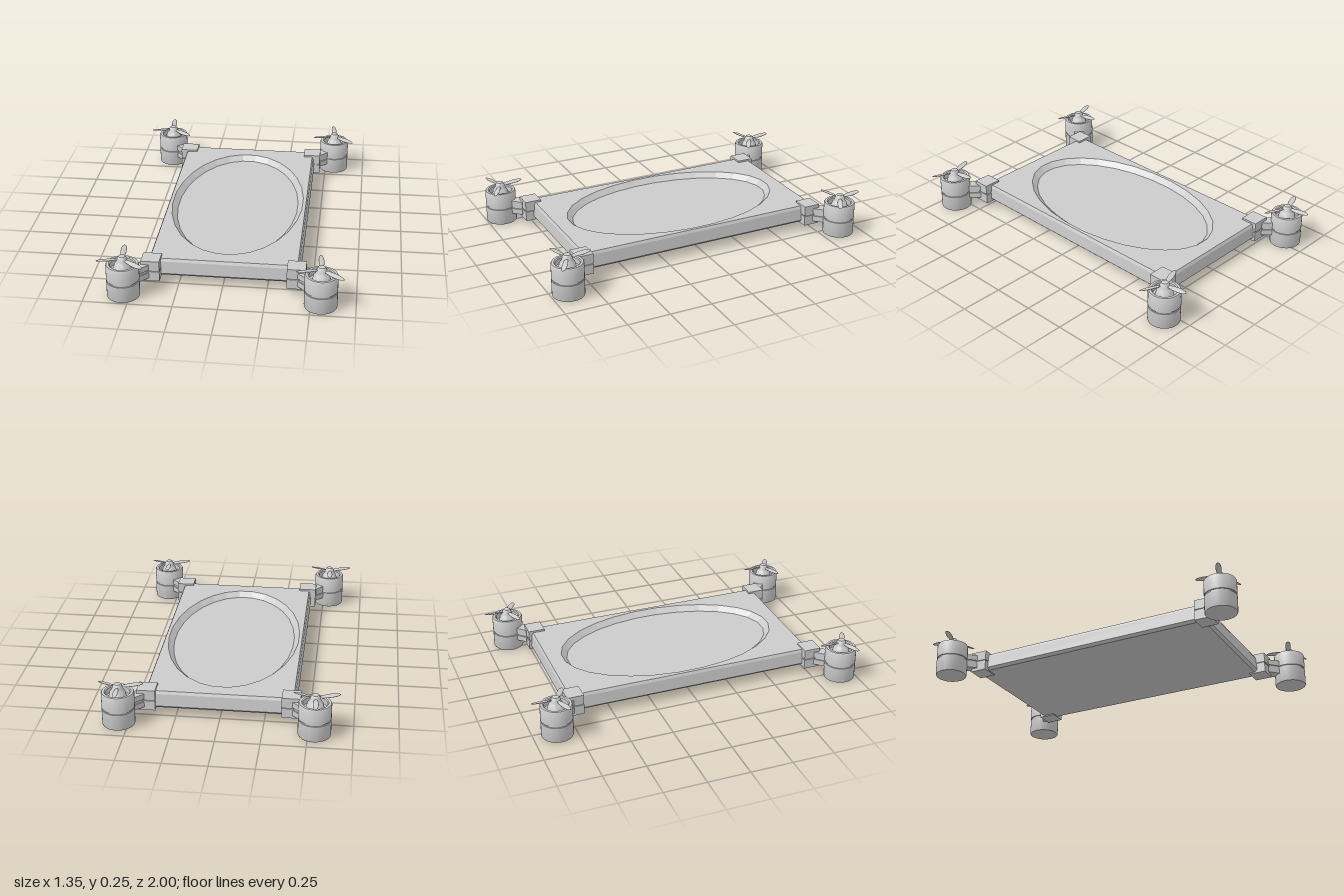
import * as THREE from 'three';
import { toCreasedNormals } from 'three/addons/utils/BufferGeometryUtils.js';

const material = new THREE.MeshStandardMaterial({ color: 0xcccccc });

function addMesh(parent, name, geometry, x = 0, y = 0, z = 0) {
  const mesh = new THREE.Mesh(geometry, material);
  mesh.name = name;
  mesh.position.set(x, y, z);
  parent.add(mesh);
  return mesh;
}

// Flat-faced band through a stack of closed loops of [x, y, z]
function loft(loops) {
  const pos = [];
  for (let r = 0; r < loops.length - 1; r++) {
    const a = loops[r], b = loops[r + 1], n = a.length;
    for (let i = 0; i < n; i++) {
      const j = (i + 1) % n;
      pos.push(...a[i], ...a[j], ...b[j], ...a[i], ...b[j], ...b[i]);
    }
  }
  const g = new THREE.BufferGeometry();
  g.setAttribute('position', new THREE.Float32BufferAttribute(pos, 3));
  g.computeVertexNormals();
  return g;
}

const rectLoop = (hx, hz, y) => [[hx, y, hz], [hx, y, -hz], [-hx, y, -hz], [-hx, y, hz]];

function ellipseLoop(rx, rz, y, n = 28) {
  return Array.from({ length: n }, (_, i) => {
    const t = ((i + 0.5) / n) * Math.PI * 2;
    return [rx * Math.cos(t), y, -rz * Math.sin(t)];
  });
}

// Horizontal face filling a loop, minus an optional hole
function cap(loop, hole, down = false) {
  const toPoints = l => l.map(([x, , z]) => new THREE.Vector2(x, down ? z : -z));
  const shape = new THREE.Shape(toPoints(loop));
  if (hole) shape.holes.push(new THREE.Path(toPoints(hole)));
  return new THREE.ShapeGeometry(shape)
    .rotateX(down ? Math.PI / 2 : -Math.PI / 2)
    .translate(0, loop[0][1], 0);
}

// Chamfered slab with an oval dished recess
function makePlatform() {
  const g = new THREE.Group();
  g.name = 'platform';
  const rows = [[0.015, 0.05], [0, 0.065], [0.006, 0.138], [0.014, 0.155]]
    .map(([inset, y]) => rectLoop(0.428 - inset, 0.762 - inset, y));
  const rim = ellipseLoop(0.397, 0.665, 0.155);
  const floor = ellipseLoop(0.365, 0.632, 0.124);
  addMesh(g, 'platformSides', loft(rows));
  addMesh(g, 'platformTop', cap(rows[3], rim));
  addMesh(g, 'platformUnderside', cap(rows[0], null, true));
  addMesh(g, 'recessWall', loft([rim, floor]));
  addMesh(g, 'recessFloor', cap(floor));
  g.position.x = 0.003;
  return g;
}

// Two stacked bars around a thinner core, leaving a seam at mid height
function splitBox(parent, name, w, d, y0, y1, gap, inset) {
  const mid = (y0 + y1) / 2, h = (y1 - y0 - gap) / 2;
  addMesh(parent, name + 'Lower', new THREE.BoxGeometry(w, h, d), 0, y0 + h / 2, 0);
  addMesh(parent, name + 'Upper', new THREE.BoxGeometry(w, h, d), 0, y1 - h / 2, 0);
  addMesh(parent, name + 'Core', new THREE.BoxGeometry(w - inset, gap * 1.5, d - inset), 0, mid, 0);
}

// Motor housing: grooved can, open well on top, tapering hub in the middle
const podProfile = [
  [0, 0], [0.084, 0], [0.09, 0.003], [0.092, 0.009],
  [0.092, 0.099], [0.087, 0.1], [0.087, 0.108], [0.092, 0.109],
  [0.092, 0.195], [0.088, 0.202], [0.074, 0.202], [0.068, 0.197],
  [0.068, 0.165], [0.052, 0.165], [0.043, 0.2], [0.036, 0.208],
  [0.03, 0.222], [0.025, 0.24], [0.019, 0.248], [0.009, 0.251], [0, 0.2515],
].map(p => new THREE.Vector2(...p));
const podGeometry = toCreasedNormals(new THREE.LatheGeometry(podProfile, 32), 0.6);

// Flattened leaf blade, narrower toward the root, pitched about its length
function makeBladeGeometry() {
  const g = new THREE.SphereGeometry(1, 20, 12);
  const p = g.attributes.position;
  for (let i = 0; i < p.count; i++) {
    const x = p.getX(i);
    p.setXYZ(i, x * 0.064, p.getY(i) * 0.0045, p.getZ(i) * (0.0165 + 0.002 * x));
  }
  g.computeVertexNormals();
  return g.rotateX(0.22).translate(0.08, 0, 0);
}
const bladeGeometry = makeBladeGeometry();

function makePod(x, z) {
  const g = new THREE.Group();
  g.name = 'motorPod';
  g.position.set(x, 0, z);
  addMesh(g, 'motorHousing', podGeometry);
  const rotor = new THREE.Group();
  rotor.name = 'propeller';
  rotor.position.y = 0.229;
  rotor.rotation.set(0.06, 0, -0.06);
  for (const angle of [94, 198, 329]) {
    addMesh(rotor, 'propellerBlade', bladeGeometry).rotation.y = THREE.MathUtils.degToRad(angle);
  }
  g.add(rotor);
  return g;
}

// Corner clamp, diagonal arm and motor pod
function makeCorner([bx, bz, px, pz]) {
  const g = new THREE.Group();
  g.name = 'rotorArm';
  const clamp = new THREE.Group();
  clamp.name = 'cornerClamp';
  clamp.position.set(bx, 0, bz);
  splitBox(clamp, 'clamp', 0.105, 0.1, 0.043, 0.166, 0.006, 0.012);
  const arm = new THREE.Group();
  arm.name = 'arm';
  arm.position.set((bx + px) / 2, 0, (bz + pz) / 2);
  arm.rotation.y = Math.atan2(-(pz - bz), px - bx);
  const length = Math.hypot(px - bx, pz - bz) - 0.085;
  splitBox(arm, 'arm', length, 0.062, 0.062, 0.145, 0.016, 0.014);
  g.add(clamp, arm, makePod(px, pz));
  return g;
}

export function createModel() {
  const model = new THREE.Group();
  model.name = 'quadRotorPlatform';
  model.add(makePlatform());
  const corners = [
    [-0.4, -0.725, -0.536, -0.861],
    [0.415, -0.725, 0.554, -0.861],
    [-0.402, 0.762, -0.536, 0.907],
    [0.414, 0.762, 0.556, 0.903],
  ];
  for (const c of corners) model.add(makeCorner(c));
  return model;
}
